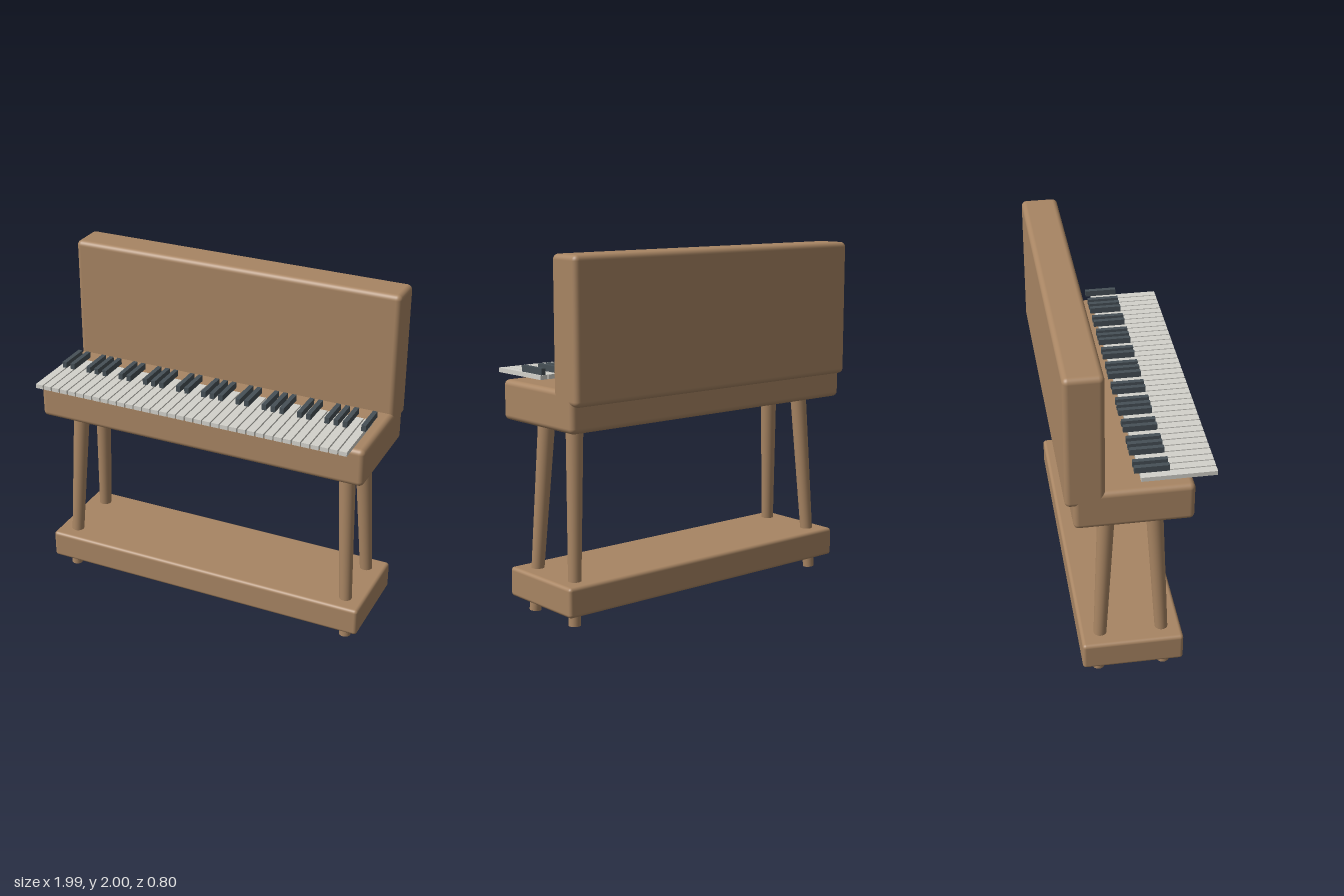
import * as THREE from 'three';
import { RoundedBoxGeometry } from 'three/addons/geometries/RoundedBoxGeometry.js';

const mat = (name, color) => {
  const m = new THREE.MeshStandardMaterial({ color });
  m.name = name;
  return m;
};

export function createModel() {
  const wood = mat('wood', 0xa88563);
  const ivory = mat('ivory', 0xd3d2cb);
  const ebony = mat('ebony', 0x465056);

  const model = new THREE.Group();
  model.name = 'electricPiano';

  const add = (name, geometry, material, parent = model) => {
    const mesh = new THREE.Mesh(geometry, material);
    mesh.name = name;
    parent.add(mesh);
    return mesh;
  };

  // Rounded wooden slab given by its y and z extents, full width in x
  const slab = (name, y0, y1, z0, z1, radius) => {
    const geometry = new RoundedBoxGeometry(1.986, y1 - y0, z1 - z0, 4, radius);
    add(name, geometry, wood).position.set(0, (y0 + y1) / 2, (z0 + z1) / 2);
  };
  slab('keyBed', 1.075, 1.297, -0.357, 0.28, 0.03);
  slab('backPanel', 1.22, 2.0, -0.4, -0.19, 0.03);
  slab('bottomShelf', 0.08, 0.247, -0.32, 0.245, 0.02);

  // Tapered legs splayed outwards, passing through the shelf
  const up = new THREE.Vector3(0, 1, 0);
  const leg = (name, top, bottom) => {
    const axis = top.clone().sub(bottom);
    const mesh = add(name, new THREE.CylinderGeometry(0.047, 0.033, axis.length(), 24), wood);
    mesh.position.copy(top).add(bottom).multiplyScalar(0.5);
    mesh.quaternion.setFromUnitVectors(up, axis.normalize());
  };
  for (const side of [-1, 1]) {
    const label = side > 0 ? 'Left' : 'Right';
    leg('front' + label + 'Leg',
      new THREE.Vector3(side * 0.84, 1.045, 0.092), new THREE.Vector3(side * 0.895, 0.003, 0.148));
    leg('back' + label + 'Leg',
      new THREE.Vector3(side * 0.84, 1.045, -0.167), new THREE.Vector3(side * 0.895, 0.003, -0.223));
  }

  // Keyboard: 36 naturals, with sharps after all but the 3rd and 7th of each octave
  const keyboard = new THREE.Group();
  keyboard.name = 'keyboard';
  model.add(keyboard);
  const naturalGeometry = new THREE.BoxGeometry(0.045, 0.025, 0.4);
  const sharpGeometry = new THREE.BoxGeometry(0.026, 0.035, 0.185);
  const pitch = 0.0526;
  for (let i = 0; i < 36; i++) {
    const x = -0.926 + i * pitch;
    add('naturalKey', naturalGeometry, ivory, keyboard).position.set(x, 1.3305, 0.2);
    if (i % 7 !== 2 && i % 7 !== 6) {
      add('sharpKey', sharpGeometry, ebony, keyboard).position.set(x + 0.0235, 1.3665, 0.0615);
    }
  }
  return model;
}
